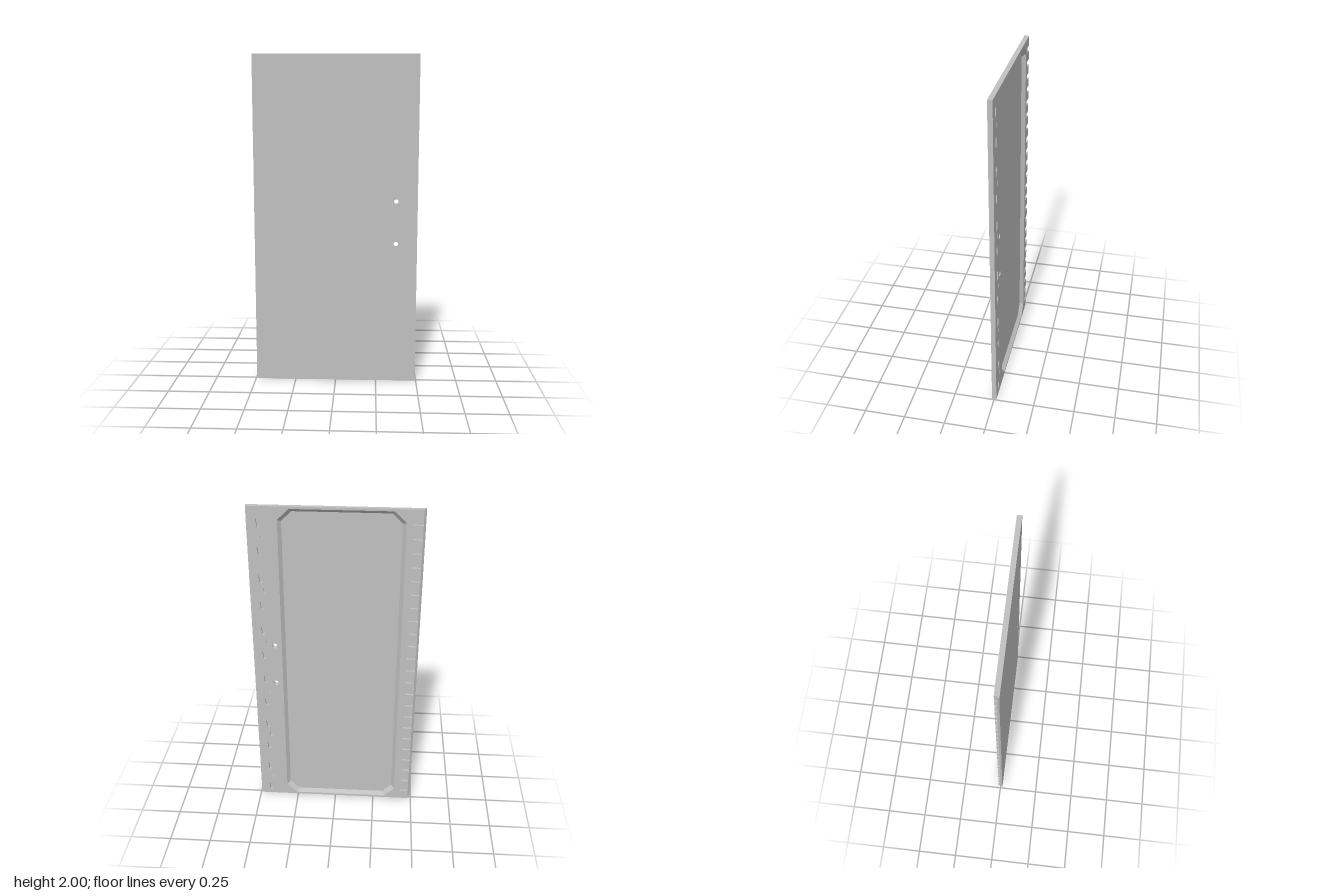
import * as THREE from 'three';

const BACK = -0.014, FRONT = 0.014, MID = 0, FLOOR = 0.009;
const XL = -0.48, XTIP = -0.494, XR = 0.494, H = 2;

const metal = new THREE.MeshStandardMaterial({ color: 0xc0c0c0, side: THREE.DoubleSide });
metal.name = 'greySheet';

const rect = (x0, y0, x1, y1) => [[x0, y0], [x1, y0], [x1, y1], [x0, y1]];

const circle = (x, y, r, n = 20) => Array.from({ length: n }, (_, i) => {
  const a = (i / n) * Math.PI * 2;
  return [x + r * Math.cos(a), y + r * Math.sin(a)];
});

// rectangle with cut corners
const cutRect = (x0, y0, x1, y1, c) => [
  [x0 + c, y0], [x1 - c, y0], [x1, y0 + c], [x1, y1 - c],
  [x1 - c, y1], [x0 + c, y1], [x0, y1 - c], [x0, y0 + c],
];

// slot that is wide and round at the top, narrow at the bottom
const teardrop = (x, y) => [
  [x - 0.007, y - 0.03], [x + 0.007, y - 0.03], [x + 0.014, y + 0.014],
  [x + 0.009, y + 0.026], [x, y + 0.03], [x - 0.009, y + 0.026], [x - 0.014, y + 0.014],
];

const vecs = (pts) => pts.map(([x, y]) => new THREE.Vector2(x, y));

export function createModel() {
  const door = new THREE.Group();
  door.name = 'doorPanel';

  const add = (name, geometry) => {
    const mesh = new THREE.Mesh(geometry, metal);
    mesh.name = name;
    door.add(mesh);
  };

  // flat sheet at depth z, facing the front or the back
  const sheet = (name, outline, holes, z, facesBack) => {
    const shape = new THREE.Shape(vecs(outline));
    shape.holes = holes.map((h) => new THREE.Path(vecs(h)));
    const g = new THREE.ShapeGeometry(shape);
    if (facesBack) {
      const idx = g.index.array;
      for (let i = 0; i < idx.length; i += 3) [idx[i], idx[i + 1]] = [idx[i + 1], idx[i]];
      g.computeVertexNormals();
    }
    add(name, g.translate(0, 0, z));
  };

  // wall between a back ring and a front ring; inward for pockets
  const wall = (name, a, za, b, zb, inward) => {
    const p = [];
    a.forEach((_, i) => {
      const j = (i + 1) % a.length;
      const A = [...a[i], za], B = [...a[j], za], C = [...b[j], zb], D = [...b[i], zb];
      if (inward) p.push(...A, ...C, ...B, ...A, ...D, ...C);
      else p.push(...A, ...B, ...C, ...A, ...C, ...D);
    });
    const g = new THREE.BufferGeometry();
    g.setAttribute('position', new THREE.Float32BufferAttribute(p, 3));
    g.computeVertexNormals();
    add(name, g);
  };

  const pocket = (name, pts, depth) => {
    wall(name + 'Wall', pts, BACK, pts, BACK + depth, true);
    sheet(name + 'Floor', pts, [], BACK + depth, true);
  };

  // back outline with a row of notches open to the hinge edge
  const notches = Array.from({ length: 23 }, (_, i) => {
    const y = 1.925 - (i * 1.85) / 22;
    return [[XL, y + 0.016], [-0.428, y + 0.018], [-0.428, y - 0.014], [XL, y - 0.016]];
  });
  const outline = [[XL, 0], [XR, 0], [XR, H], [XL, H], ...notches.flat()];

  // large recess with sloping walls
  const recess = cutRect(-0.388, 0.013, 0.322, 1.987, 0.065);
  const recessFloor = cutRect(-0.368, 0.033, 0.302, 1.967, 0.057);

  // slots along the latch edge
  const slots = Array.from({ length: 12 }, (_, i) => teardrop(0.428, 1.91 - i * 0.168));
  const smallSlots = Array.from({ length: 6 }, (_, i) => {
    const y = 1.83 - i * 0.336;
    return rect(0.404, y - 0.015, 0.417, y + 0.015);
  });

  // handle holes, slightly wider at the back
  const holeY = [0.87, 1.13];
  const boresFront = holeY.map((y) => circle(0.365, y, 0.013));
  const boresBack = holeY.map((y) => circle(0.365, y, 0.017));

  sheet('frontFace', rect(XTIP, 0, XR, H), boresFront, FRONT, false);
  sheet('backFace', outline, [recess, ...slots, ...smallSlots, ...boresBack], BACK, true);

  // outer edges, with the bevelled lip on the hinge side
  wall('rearEdge', outline, BACK, outline, MID, false);
  wall('bevelledEdge', rect(XL, 0, XR, H), MID, rect(XTIP, 0, XR, H), FRONT, false);
  notches.forEach((n) => sheet('notchFloor', n, [], MID, true));

  wall('recessWall', recess, BACK, recessFloor, FLOOR, true);
  sheet('recessFloor', recessFloor, [], FLOOR, true);

  slots.forEach((s) => pocket('slot', s, 0.016));
  smallSlots.forEach((s) => pocket('smallSlot', s, 0.012));
  boresBack.forEach((b, i) => wall('handleHole', b, BACK, boresFront[i], FRONT, true));

  return door;
}
